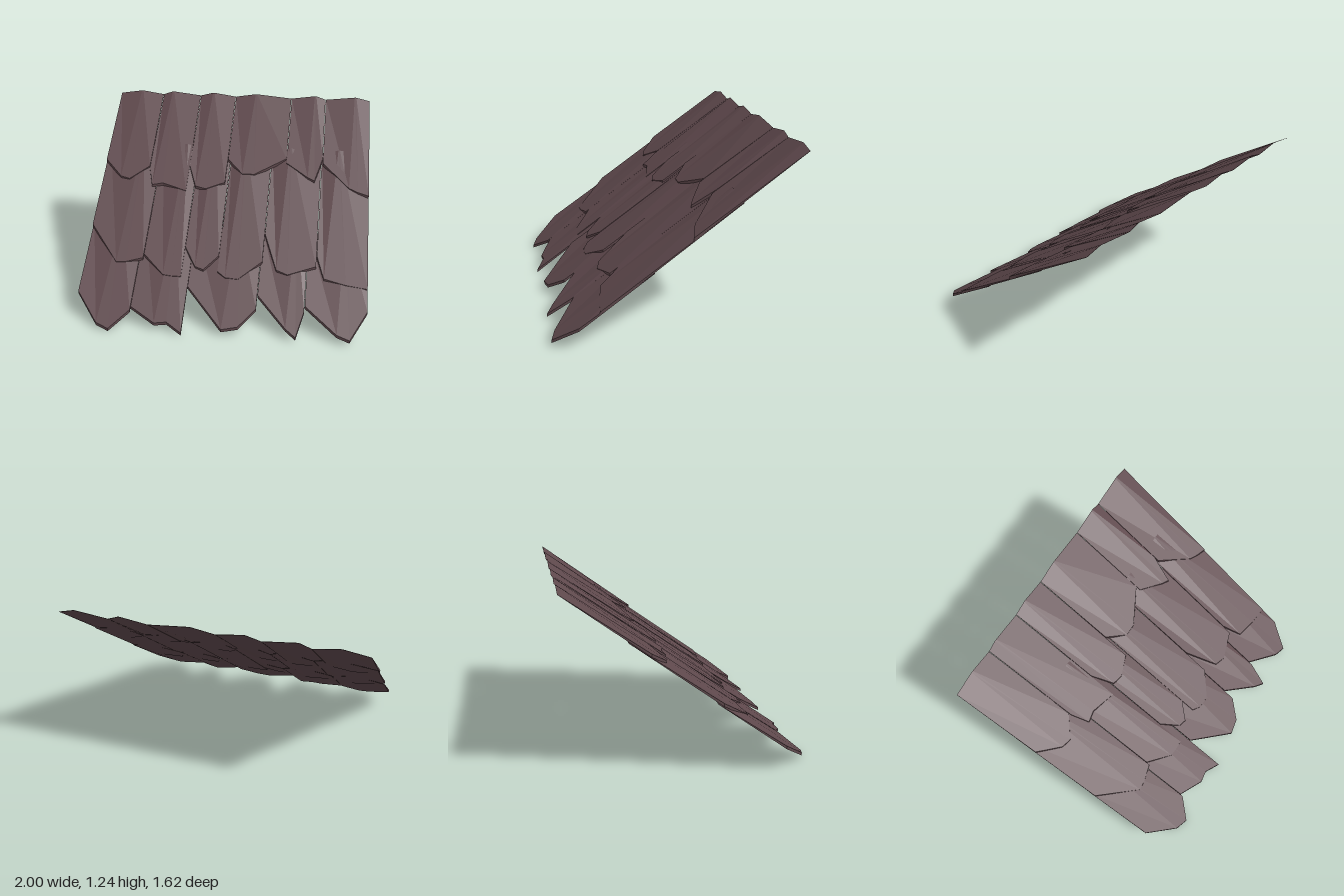
import * as THREE from 'three';

const SLOPE = 0.757, MID = 0.625, GAP = 0.0015;

// Each shingle: [left, zLeft, x1, z1, x2, z2, zRight], the corners of its ragged lower end.
// A shingle reaches to the left edge of the next one; the last reaches the panel edge.
const upperRow = [
  [-1, -0.27, -0.86, -0.155, -0.79, -0.14, -0.235],
  [-0.65, -0.22, -0.61, -0.105, -0.53, -0.12, -0.075],
  [-0.345, -0.25, -0.28, -0.11, -0.2, -0.095, -0.145],
  [-0.06, -0.31, 0.06, -0.21, 0.15, -0.21, -0.33],
  [0.385, -0.3, 0.55, -0.205, 0.6, -0.185, -0.34],
  [0.655, -0.31, 0.855, -0.145, 0.92, -0.12, -0.1],
];
const middleRow = [
  [-1, 0.18, -0.77, 0.41, -0.7, 0.405, 0.375],
  [-0.58, 0.35, -0.42, 0.47, -0.36, 0.475, 0.475],
  [-0.29, 0.29, -0.2, 0.41, -0.14, 0.425, 0.335],
  [-0.04, 0.43, 0.02, 0.465, 0.11, 0.47, 0.355],
  [0.27, 0.18, 0.37, 0.4, 0.45, 0.425, 0.365],
  [0.645, 0.3, 0.7, 0.435, 0.85, 0.465, 0.48],
];
const lowerRow = [
  [-1, 0.6, -0.83, 0.775, -0.74, 0.805, 0.69],
  [-0.61, 0.67, -0.43, 0.755, -0.345, 0.745, 0.8],
  [-0.235, 0.53, 0.03, 0.765, 0.14, 0.745, 0.635],
  [0.255, 0.555, 0.46, 0.735, 0.53, 0.78, 0.63],
  [0.58, 0.6, 0.8, 0.75, 0.885, 0.775, 0.61],
];

// A folded sheet at the top that thickens into a flat, ragged lower end
function shingleGeometry(zTop, right, [left, zl, x1, z1, x2, z2, zr]) {
  const L = left + GAP, R = right - GAP, ridge = (x1 + x2) / 2;
  const point = (x, z, lift) => [x, MID - SLOPE * z + lift, z];
  const upper = [[L, -0.018], [ridge - 0.006, 0.007], [ridge + 0.006, 0.007], [R, -0.018]];
  const lower = [[L, zl], [x1, z1], [x2, z2], [R, zr]];
  const a = upper.map(([x, fold]) => point(x, zTop, fold));
  const b = lower.map(([x, z]) => point(x, z, 0.013));
  const c = upper.map(([x, fold]) => point(x, zTop, fold - 0.002));
  const d = lower.map(([x, z]) => point(x, z, -0.008));
  const pos = [];
  const quad = (p, q, s, t) => pos.push(...p, ...q, ...s, ...p, ...s, ...t);
  for (let i = 0; i < 3; i++) {
    quad(a[i], b[i], b[i + 1], a[i + 1]); // face
    quad(c[i + 1], d[i + 1], d[i], c[i]); // underside
    quad(b[i], d[i], d[i + 1], b[i + 1]); // lower end
    quad(a[i + 1], c[i + 1], c[i], a[i]); // upper end
  }
  quad(a[0], c[0], d[0], b[0]); // sides
  quad(b[3], d[3], c[3], a[3]);
  const geometry = new THREE.BufferGeometry();
  geometry.setAttribute('position', new THREE.Float32BufferAttribute(pos, 3));
  geometry.computeVertexNormals();
  return geometry;
}

// One overlapping course of shingles, starting at zTop
function buildRow(name, zTop, shingles, material) {
  const row = new THREE.Group();
  row.name = name;
  shingles.forEach((shingle, i) => {
    const right = i + 1 < shingles.length ? shingles[i + 1][0] : 1;
    const mesh = new THREE.Mesh(shingleGeometry(zTop, right, shingle), material);
    mesh.name = 'shingle';
    row.add(mesh);
  });
  return row;
}

export function createModel() {
  const model = new THREE.Group();
  model.name = 'shingleRoofPanel';
  const wood = new THREE.MeshStandardMaterial({ color: 0x5e484c });
  wood.name = 'dark brown shingle';
  model.add(
    buildRow('upperRow', -0.81, upperRow, wood),
    buildRow('middleRow', -0.41, middleRow, wood),
    buildRow('lowerRow', 0.14, lowerRow, wood),
  );
  return model;
}
